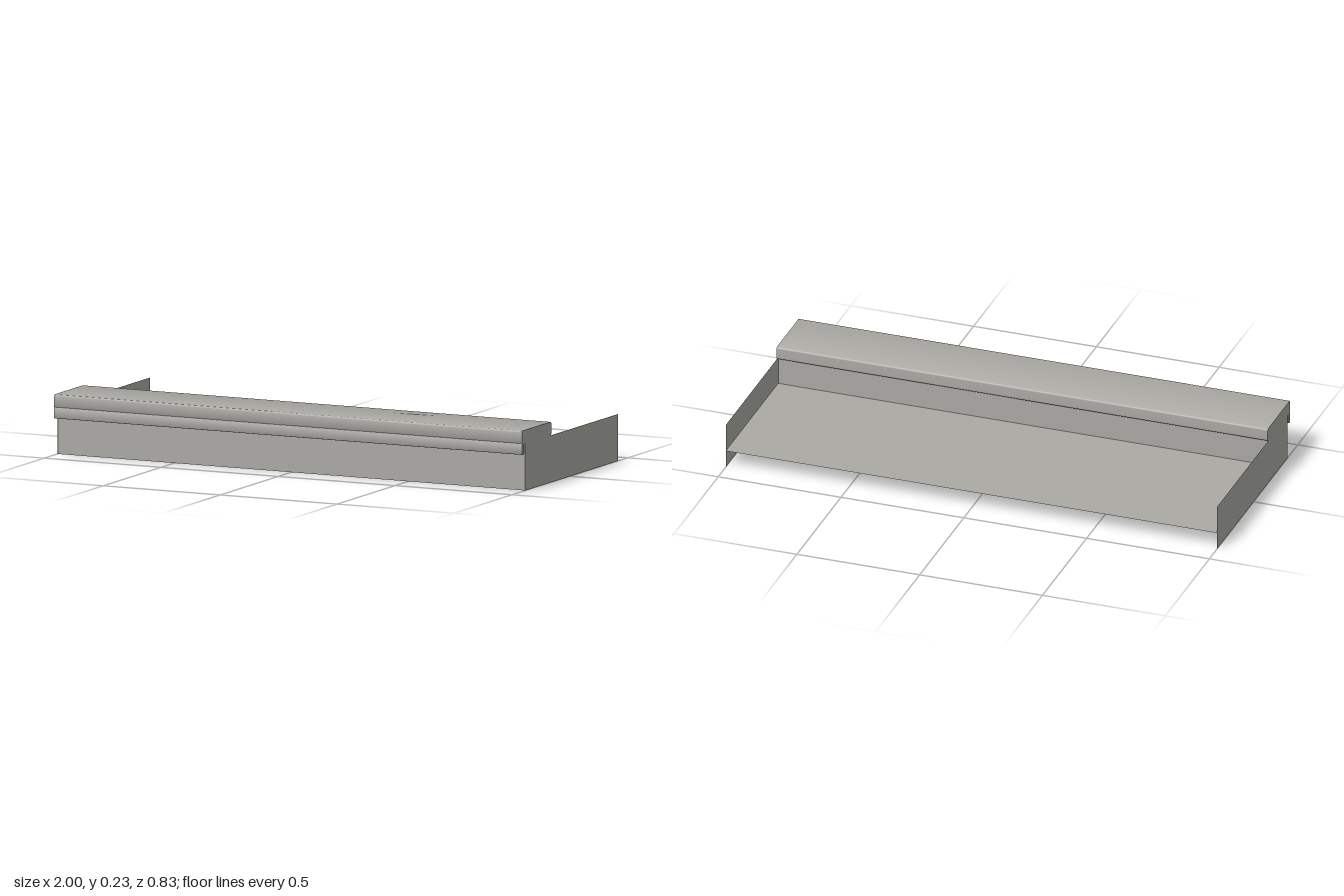
import * as THREE from 'three';
import { toCreasedNormals } from 'three/addons/utils/BufferGeometryUtils.js';

const WIDTH = 2;
const FRONT = 0.385, BACK = -0.415, BODY_TOP = 0.182, FLOOR_Y = 0.07;

// Bar running along x, from a rounded rectangle in the z/y plane
function roundedBar(z0, z1, y0, y1, r) {
  const s = new THREE.Shape();
  s.moveTo(z0 + r, y0);
  s.lineTo(z1 - r, y0);
  s.absarc(z1 - r, y0 + r, r, -Math.PI / 2, 0);
  s.lineTo(z1, y1 - r);
  s.absarc(z1 - r, y1 - r, r, 0, Math.PI / 2);
  s.lineTo(z0 + r, y1);
  s.absarc(z0 + r, y1 - r, r, Math.PI / 2, Math.PI);
  s.lineTo(z0, y0 + r);
  s.absarc(z0 + r, y0 + r, r, Math.PI, Math.PI * 1.5);
  const g = new THREE.ExtrudeGeometry(s, { depth: WIDTH, bevelEnabled: false, curveSegments: 6 });
  g.translate(0, 0, -WIDTH / 2);
  g.rotateY(-Math.PI / 2); // shape x becomes +z
  return toCreasedNormals(g, 0.6);
}

export function createModel() {
  const group = new THREE.Group();
  const gray = new THREE.MeshStandardMaterial({ color: 0xaaa9a4, side: THREE.DoubleSide });
  gray.name = 'warm gray';

  const add = (name, geometry, x = 0, y = 0, z = 0) => {
    const mesh = new THREE.Mesh(geometry, gray);
    mesh.name = name;
    mesh.position.set(x, y, z);
    group.add(mesh);
    return mesh;
  };

  // Hollow-looking front body below the ledge
  const bodyBack = 0.178;
  add('frontBody', new THREE.BoxGeometry(WIDTH - 0.002, BODY_TOP, FRONT - bodyBack),
    0, BODY_TOP / 2, (FRONT + bodyBack) / 2);

  // Rounded ledge overhanging the body, with a drip strip under its front edge
  add('ledge', roundedBar(0.16, 0.415, 0.182, 0.235, 0.008));
  add('dripStrip', roundedBar(0.398, 0.415, 0.142, 0.187, 0.004));

  // Thin tray floor behind the body
  const floor = new THREE.PlaneGeometry(WIDTH, bodyBack - BACK).rotateX(-Math.PI / 2);
  add('trayFloor', floor, 0, FLOOR_Y, (bodyBack + BACK) / 2);

  // Thin end panels
  for (const side of [-1, 1]) {
    const panel = new THREE.PlaneGeometry(FRONT - BACK, BODY_TOP).rotateY(side * Math.PI / 2);
    add(side > 0 ? 'leftPanel' : 'rightPanel', panel, side * WIDTH / 2, BODY_TOP / 2, (FRONT + BACK) / 2);
  }
  return group;
}
